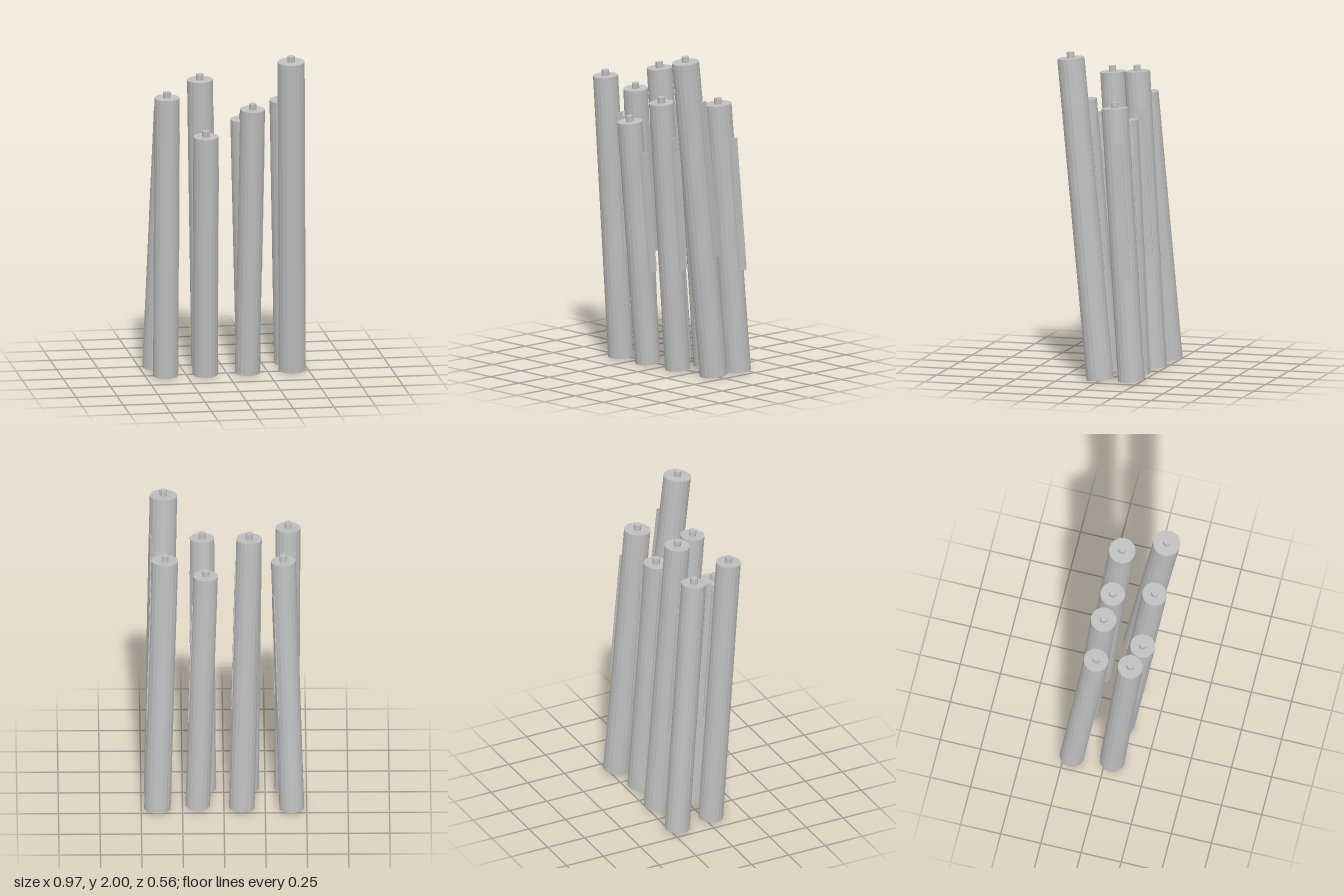
import * as THREE from 'three';

// [radius, bottom x, bottom z, top x, top y, top z, turn about own axis]
const STICKS = [
  [0.075, -0.41, -0.203, -0.36, 1.65, -0.065, 0.2],
  [0.078, -0.108, -0.188, -0.153, 1.81, -0.07, 0],
  [0.075, 0.158, -0.165, 0.11, 1.555, -0.078, 0],
  [0.081, 0.402, -0.198, 0.356, 1.665, -0.08, 0],
  [0.076, -0.38, 0.04, -0.39, 1.757, 0.155, 0],
  [0.076, -0.138, 0.042, -0.155, 1.512, 0.174, 0],
  [0.075, 0.12, 0.036, 0.13, 1.672, 0.178, 0],
  [0.083, 0.4, 0.0, 0.363, 1.962, 0.195, 0.2],
];

export function createModel() {
  const model = new THREE.Group();
  const grey = new THREE.MeshStandardMaterial({ color: 0xbfbfbf, flatShading: true });
  grey.name = 'lightGrey';

  const addMesh = (parent, name, geometry) => {
    const mesh = new THREE.Mesh(geometry, grey);
    mesh.name = name;
    parent.add(mesh);
  };

  STICKS.forEach(([r, bx, bz, tx, ty, tz, turn], i) => {
    const bottom = new THREE.Vector3(bx, 0.008, bz);
    const axis = new THREE.Vector3(tx, ty, tz).sub(bottom);
    const h = axis.length();

    // leaning stick, built upright and then tilted along its axis
    const stick = new THREE.Group();
    stick.name = `stick${i + 1}`;
    stick.position.copy(bottom);
    stick.quaternion.setFromUnitVectors(new THREE.Vector3(0, 1, 0), axis.normalize());
    stick.rotateY(turn);

    // faceted body
    addMesh(stick, 'body', new THREE.CylinderGeometry(r, r, h, 18).translate(0, h / 2, 0));
    // short stub on the top
    addMesh(stick, 'wick', new THREE.CylinderGeometry(0.023, 0.023, 0.036, 10).translate(0, h + 0.017, 0));
    // flat strip touching the side, reaching towards the back
    addMesh(stick, 'sideStrip', new THREE.BoxGeometry(0.007, h * 0.495, 0.058)
      .translate(r, h * 0.624, -0.029));

    model.add(stick);
  });
  return model;
}
